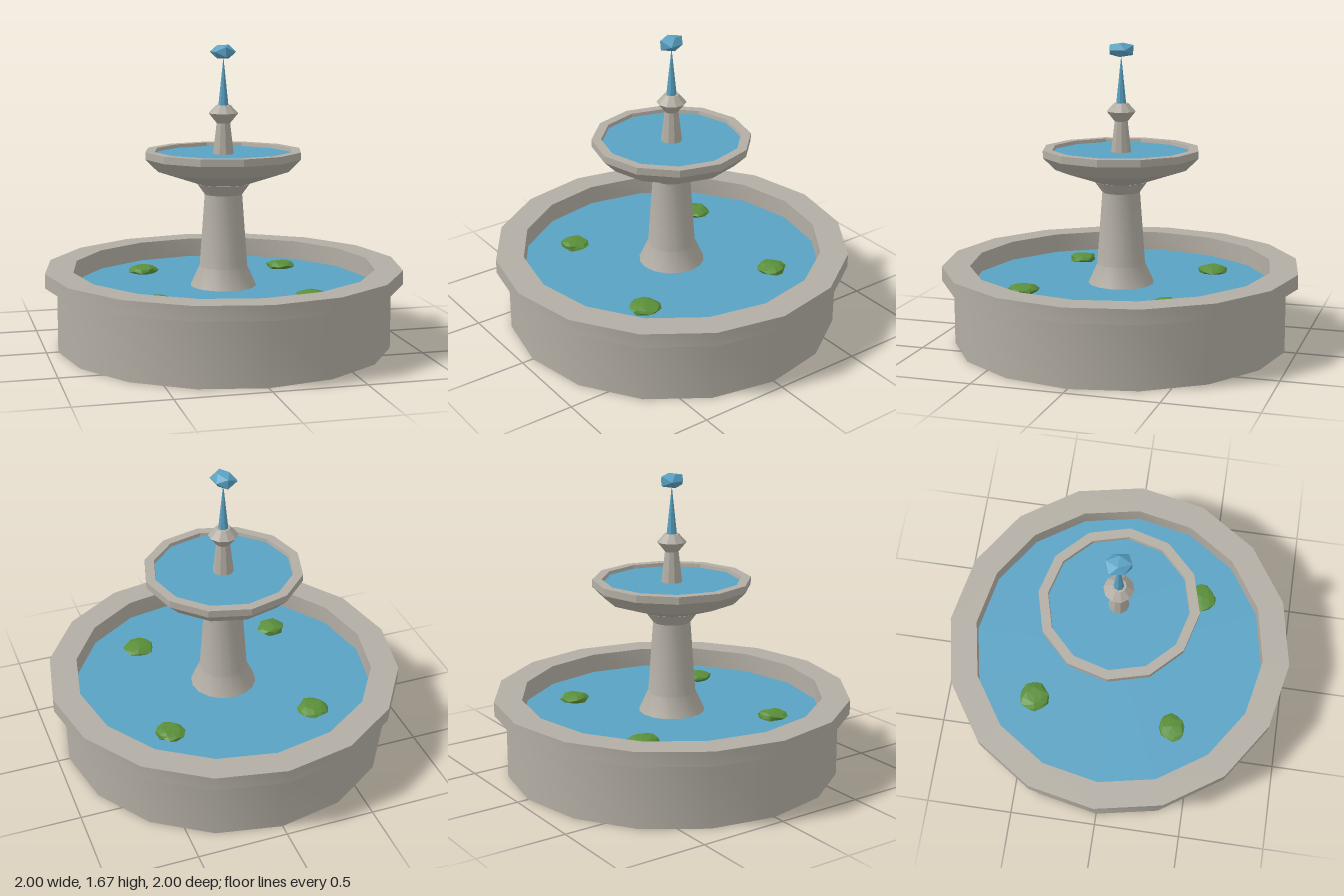
import * as THREE from 'three';
import { toCreasedNormals } from 'three/addons/utils/BufferGeometryUtils.js';

export function createModel() {
  const fountain = new THREE.Group();
  fountain.name = 'fountain';

  const material = (name, color) => {
    const m = new THREE.MeshStandardMaterial({ color });
    m.name = name;
    return m;
  };
  const stone = material('stone', 0xb3aea4);
  const water = material('water', 0x5aa2c4);
  const leaf = material('leaf', 0x5a8f3a);

  const add = (name, geometry, mat) => {
    const mesh = new THREE.Mesh(geometry, mat);
    mesh.name = name;
    fountain.add(mesh);
    return mesh;
  };

  // Turned part from [radius, height] pairs, outside listed bottom to top
  const turned = (name, profile, sides, mat, crease = 0.45) => {
    const points = profile.map(([r, y]) => new THREE.Vector2(r, y));
    return add(name, toCreasedNormals(new THREE.LatheGeometry(points, sides), crease), mat);
  };

  // Water surface, with corners matching the turned parts
  const surface = (name, radius, y, sides) => {
    const disc = new THREE.CircleGeometry(radius, sides);
    disc.rotateX(-Math.PI / 2);
    disc.rotateY(Math.PI / 2);
    disc.translate(0, y, 0);
    return add(name, disc, water);
  };

  // Irregular faceted lump, pushed in and out by a repeatable rule
  const lump = (name, detail, size, seed, mat) => {
    const g = new THREE.IcosahedronGeometry(1, detail);
    const p = g.attributes.position;
    const v = new THREE.Vector3();
    for (let i = 0; i < p.count; i++) {
      v.fromBufferAttribute(p, i);
      const k = 1 + 0.1 * Math.sin(v.x * 5.3 + v.y * 7.1 + v.z * 3.7 + seed);
      v.multiplyScalar(k);
      p.setXYZ(i, v.x * size[0], v.y * size[1], v.z * size[2]);
    }
    g.computeVertexNormals();
    return add(name, g, mat);
  };

  // Lower basin with overhanging rim
  turned('basin', [
    [0, 0], [0.935, 0], [0.935, 0.36], [1, 0.36], [1, 0.44],
    [0.845, 0.44], [0.845, 0.3],
  ], 16, stone);
  surface('basinWater', 0.845, 0.33, 16);

  // Pedestal with flared foot and collar
  turned('pedestal', [[0.19, 0.32], [0.135, 0.44], [0.105, 0.85]], 16, stone);
  turned('collar', [[0.105, 0.845], [0.148, 0.905], [0, 0.905]], 16, stone);

  // Upper bowl
  turned('bowl', [
    [0, 0.9], [0.13, 0.9], [0.37, 0.98], [0.44, 1.05], [0.44, 1.09],
    [0.387, 1.09], [0.38, 1.05],
  ], 12, stone);
  surface('bowlWater', 0.385, 1.07, 12);

  // Stem and finial
  turned('stem', [[0.059, 1.06], [0.037, 1.245]], 10, stone);
  turned('finial', [[0.037, 1.24], [0.082, 1.295], [0.04, 1.34], [0, 1.34]], 10, stone);

  // Water jet and splash
  const jet = new THREE.ConeGeometry(0.029, 0.27, 8, 1, true);
  jet.translate(0, 1.47, 0);
  add('jet', toCreasedNormals(jet, 0.45), water);
  const splash = lump('splash', 0, [0.068, 0.048, 0.074], 1.3, water);
  splash.position.set(-0.003, 1.632, 0);

  // Four floating lily pads
  for (let i = 0; i < 4; i++) {
    const angle = 0.87 + (i * Math.PI) / 2;
    const r = i % 2 ? 0.08 : 0.086;
    const pad = lump('lilyPad', 1, [r, 0.028, r], i * 1.7, leaf);
    pad.position.set(0.58 * Math.cos(angle), 0.345, 0.58 * Math.sin(angle));
    pad.rotation.y = -angle;
  }

  return fountain;
}
